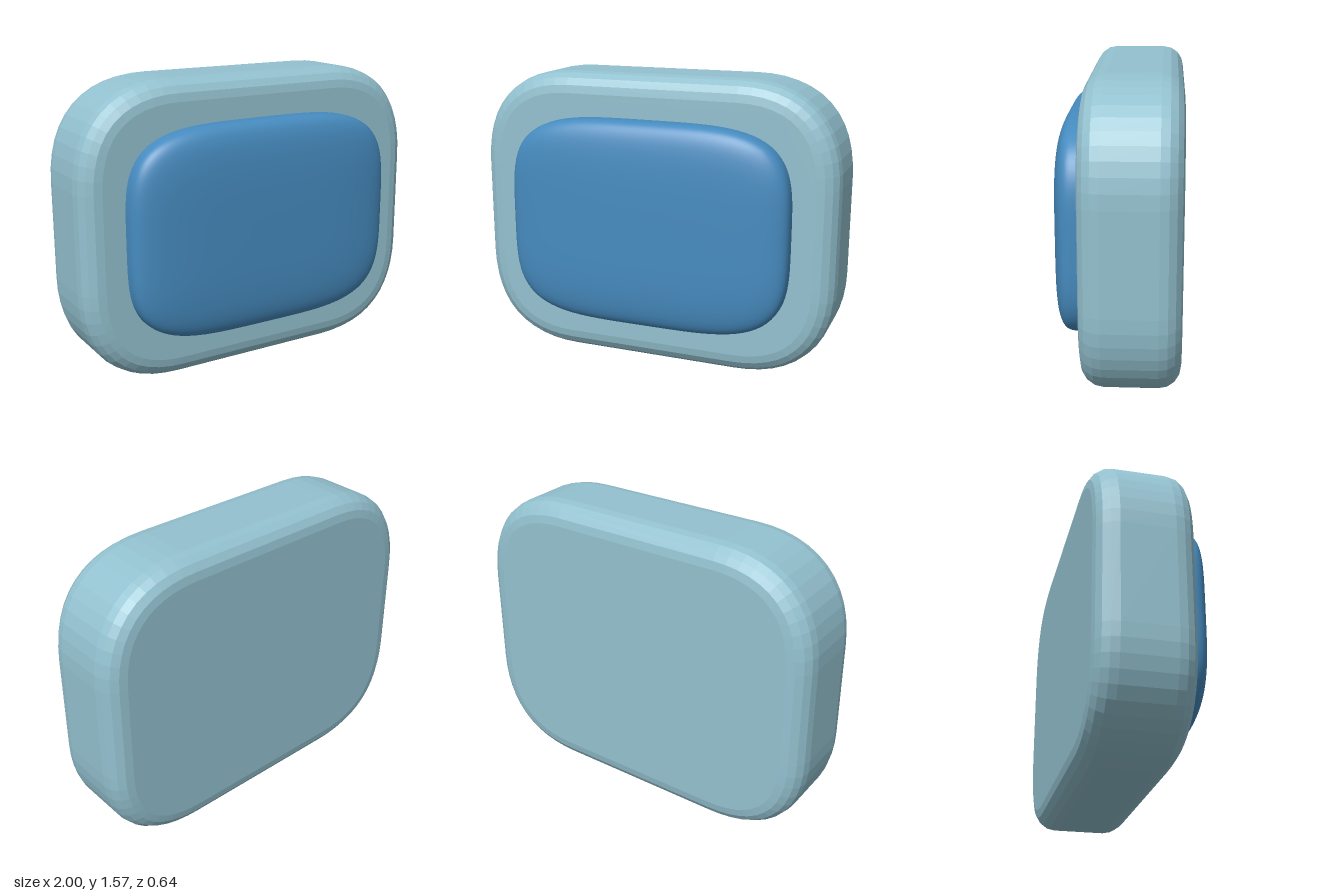
import * as THREE from 'three';
import { mergeVertices } from 'three/addons/utils/BufferGeometryUtils.js';

// Rectangle centred on the origin with soft, quadratic corners
function softRect(hw, hh, r) {
  const s = new THREE.Shape();
  s.moveTo(-hw + r, -hh);
  s.lineTo(hw - r, -hh);
  s.quadraticCurveTo(hw, -hh, hw, -hh + r);
  s.lineTo(hw, hh - r);
  s.quadraticCurveTo(hw, hh, hw - r, hh);
  s.lineTo(-hw + r, hh);
  s.quadraticCurveTo(-hw, hh, -hw, hh - r);
  s.lineTo(-hw, -hh + r);
  s.quadraticCurveTo(-hw, -hh, -hw + r, -hh);
  return s;
}

// Cushion: a cube inflated to a superellipsoid with half sizes a, b, c
function cushion(a, b, c, n) {
  let geo = new THREE.BoxGeometry(2, 2, 2, 28, 28, 28);
  geo.deleteAttribute('normal');
  geo.deleteAttribute('uv');
  geo = mergeVertices(geo, 1e-4);
  const p = geo.attributes.position;
  const v = new THREE.Vector3();
  for (let i = 0; i < p.count; i++) {
    v.fromBufferAttribute(p, i);
    const len = (Math.abs(v.x) ** n + Math.abs(v.y) ** n + Math.abs(v.z) ** n) ** (1 / n);
    v.divideScalar(len);
    p.setXYZ(i, v.x * a, v.y * b, v.z * c);
  }
  geo.computeVertexNormals();
  return geo;
}

export function createModel() {
  const group = new THREE.Group();
  group.name = 'monitor';
  const cy = 0.785;

  // Casing: bevelled slab, z from -0.32 to 0.17
  const bevel = 0.11;
  const casingGeo = new THREE.ExtrudeGeometry(softRect(1 - bevel, cy - bevel, 0.42), {
    depth: 0.49 - 2 * bevel,
    bevelThickness: bevel,
    bevelSize: bevel,
    bevelSegments: 4,
    curveSegments: 12,
  });
  const casing = new THREE.Mesh(casingGeo,
    new THREE.MeshStandardMaterial({ color: 0x93c1cf, flatShading: true }));
  casing.name = 'casing';
  casing.position.set(0, cy, -0.32 + bevel);
  group.add(casing);

  // Screen: smooth cushion bulging from the front of the casing
  const screen = new THREE.Mesh(cushion(0.775, 0.558, 0.145, 4),
    new THREE.MeshStandardMaterial({ color: 0x468bbf }));
  screen.name = 'screen';
  screen.position.set(0, cy + 0.002, 0.175);
  group.add(screen);

  return group;
}
